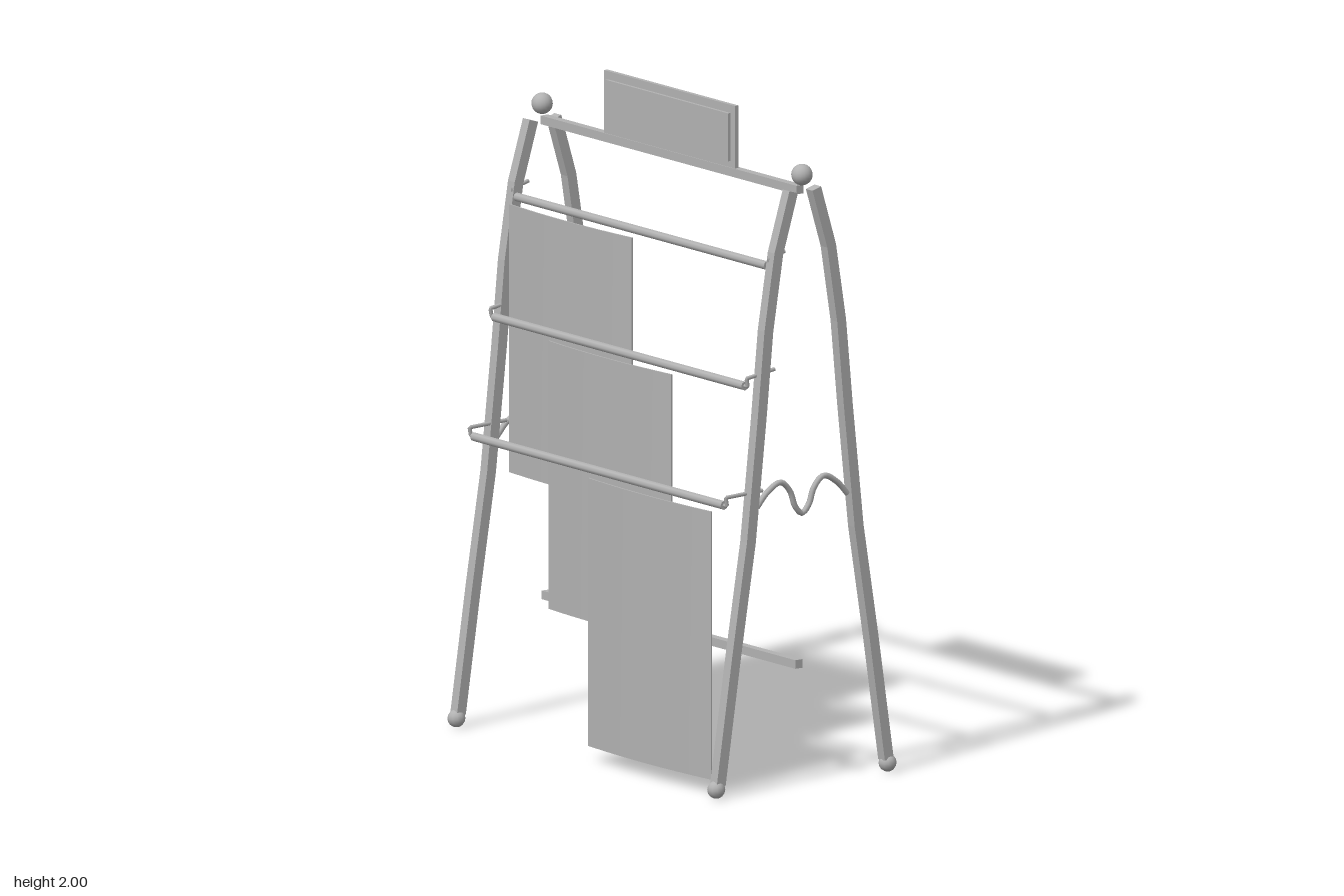
import * as THREE from 'three';

const grey = new THREE.MeshStandardMaterial({ color: 0xb2b2b2 });
grey.name = 'grey metal';

const SIDE_X = 0.635;
const LEG_W = 0.033;

// Leg centre line as [z, y], foot to top
const LEG = [[0.312, 0.04], [0.255, 0.42], [0.2, 0.76], [0.16, 1.13], [0.135, 1.39], [0.098, 1.62], [0.043, 1.8]];

export function createModel() {
  const model = new THREE.Group();
  model.name = 'displayRack';

  function add(name, geometry, x = 0, y = 0, z = 0) {
    const mesh = new THREE.Mesh(geometry, grey);
    mesh.name = name;
    mesh.position.set(x, y, z);
    model.add(mesh);
    return mesh;
  }

  // Square bar following a bent line, extruded across x
  function legGeometry(dir) {
    const pts = LEG.map(([z, y]) => new THREE.Vector2(z * dir, y));
    const left = [], right = [];
    pts.forEach((p, i) => {
      const a = pts[Math.max(i - 1, 0)], b = pts[Math.min(i + 1, pts.length - 1)];
      const t = b.clone().sub(a).normalize().multiplyScalar(LEG_W / 2);
      left.push(new THREE.Vector2(p.x - t.y, p.y + t.x));
      right.unshift(new THREE.Vector2(p.x + t.y, p.y - t.x));
    });
    const g = new THREE.ExtrudeGeometry(new THREE.Shape([...left, ...right]), { depth: LEG_W, bevelEnabled: false });
    g.translate(0, 0, -LEG_W / 2);
    g.rotateY(-Math.PI / 2);
    return g;
  }

  // Thin sheet bowed toward the front
  function sheetGeometry(w, h, bow, thickness) {
    const g = new THREE.BoxGeometry(w, h, thickness, 12, 1, 1);
    const p = g.attributes.position;
    for (let i = 0; i < p.count; i++) {
      const u = p.getX(i) / (w / 2);
      p.setZ(i, p.getZ(i) + bow * (1 - u * u));
    }
    g.computeVertexNormals();
    return g;
  }

  function tube(points, radius, segments) {
    const curve = new THREE.CatmullRomCurve3(points.map(p => new THREE.Vector3(...p)));
    return new THREE.TubeGeometry(curve, segments, radius, 8);
  }

  // Side frames: two legs, feet, top ball and a wavy brace
  const wave = [[0.168, 0.86], [0.13, 0.9], [0.08, 0.925], [0.045, 0.895], [0.025, 0.845]];
  for (const s of [1, -1]) {
    const side = s > 0 ? 'left' : 'right';
    for (const d of [1, -1]) {
      const end = d > 0 ? 'Front' : 'Back';
      add(side + end + 'Leg', legGeometry(d), s * SIDE_X);
      add(side + end + 'Foot', new THREE.SphereGeometry(0.027, 12, 8), s * SIDE_X, 0.027, d * 0.318);
    }
    add(side + 'TopBall', new THREE.SphereGeometry(0.032, 16, 12), s * SIDE_X, 1.845, 0);
    const path = [
      ...wave.map(([z, y]) => [0, y, z]),
      [0, 0.822, 0],
      ...wave.slice().reverse().map(([z, y]) => [0, y, -z]),
    ];
    add(side + 'WavyBrace', tube(path, 0.009, 48), s * SIDE_X);
  }

  // Cross bars
  add('topBar', new THREE.BoxGeometry(1.25, 0.026, 0.026), 0, 1.798, 0);
  add('lowerBar', new THREE.BoxGeometry(1.24, 0.026, 0.026), 0, 0.363, 0);

  // Header sign with raised front plate
  add('headerSign', new THREE.BoxGeometry(0.64, 0.19, 0.014), 0, 1.905, 0.003);
  add('headerPlate', new THREE.BoxGeometry(0.6, 0.145, 0.01), 0, 1.903, 0.015);

  // Hanging rails with bent wire arms: rail y, rail z, arm y, arm start z, arm start y
  const rails = [
    [1.58, 0.111, 1.605, 0.058, 1.62],
    [1.227, 0.194, 1.252, 0.095, 1.268],
    [0.876, 0.271, 0.902, 0.14, 0.907],
  ];
  rails.forEach(([y, z, armY, z0, y0], i) => {
    const rail = new THREE.CylinderGeometry(0.0135, 0.0135, 1.224, 8);
    rail.rotateZ(Math.PI / 2);
    add('rail' + (i + 1), rail, 0, y, z);
    for (const s of [1, -1]) {
      const corners = [[s * 0.626, y0, z0], [s * 0.626, armY, z + 0.005], [s * 0.626, y, z], [s * 0.605, y, z]]
        .map(p => new THREE.Vector3(...p));
      const path = new THREE.CurvePath();
      for (let k = 0; k < 3; k++) path.add(new THREE.LineCurve3(corners[k], corners[k + 1]));
      add((s > 0 ? 'left' : 'right') + 'RailArm' + (i + 1), new THREE.TubeGeometry(path, 32, 0.006, 6));
    }
  });

  // Hanging sheets: centre x, centre y, edge z
  [[-0.32, 1.155, 0.132], [-0.02, 0.803, 0.213], [0.28, 0.45, 0.294]].forEach(([x, y, z], i) => {
    add('hangingSheet' + (i + 1), sheetGeometry(0.6, 0.81, 0.014, 0.005), x, y, z);
  });

  return model;
}
